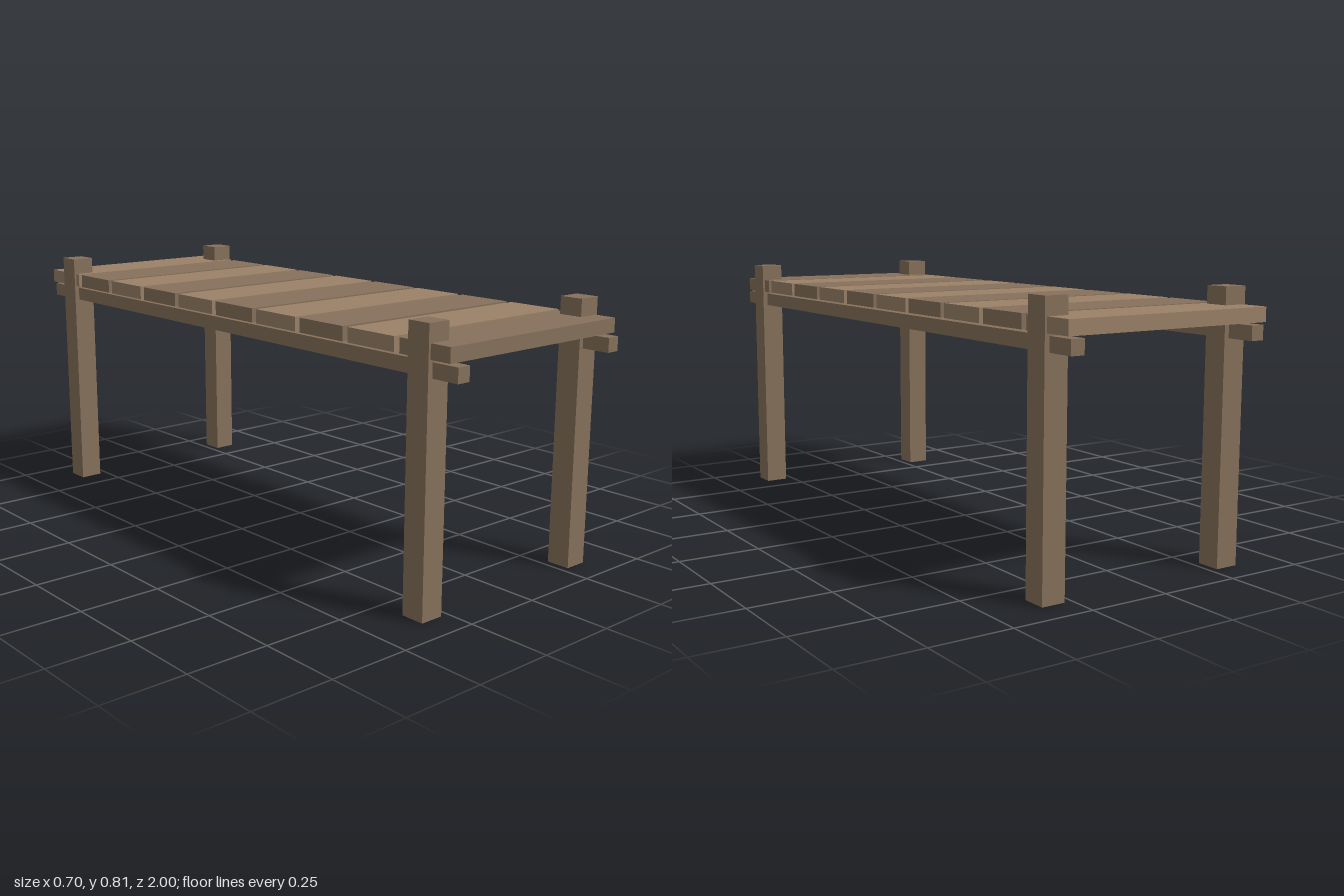
import * as THREE from 'three';

const darkWood = new THREE.MeshStandardMaterial({ color: 0x86715b });
const lightWood = new THREE.MeshStandardMaterial({ color: 0x9a8267 });

function beam(name, size, position, material) {
  const mesh = new THREE.Mesh(new THREE.BoxGeometry(...size), material);
  mesh.name = name;
  mesh.position.set(...position);
  return mesh;
}

export function createModel() {
  const dock = new THREE.Group();
  dock.name = 'dock';

  // Deck planks in alternating tones, from back to front
  const planks = new THREE.Group();
  planks.name = 'deckPlanks';
  for (let i = 0; i < 10; i++) {
    planks.add(beam(`plank${i + 1}`, [0.684, 0.043, 0.18], [0, 0.739, -0.91 + i * 0.2], i % 2 ? darkWood : lightWood));
  }
  dock.add(planks);

  for (const [side, sx] of [['left', 1], ['right', -1]]) {
    // Long beam under the planks
    dock.add(beam(`${side}Stringer`, [0.043, 0.043, 2], [sx * 0.312, 0.689, 0], darkWood));
    // Corner posts rising through the deck
    for (const [end, sz] of [['Front', 1], ['Back', -1]]) {
      dock.add(beam(`${side}${end}Post`, [0.074, 0.813, 0.074], [sx * 0.312, 0.4065, sz * 0.875], darkWood));
    }
  }
  return dock;
}
